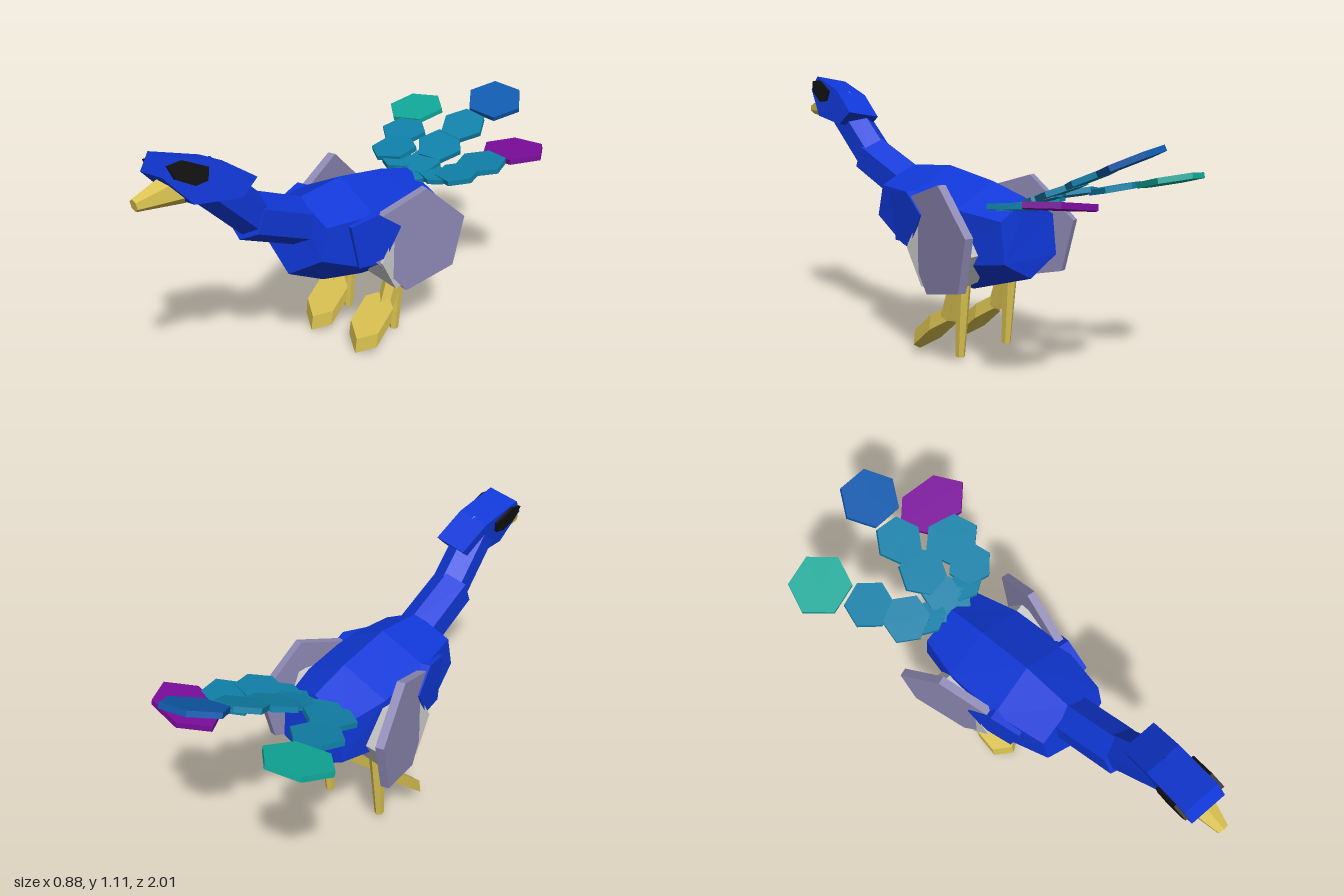
import * as THREE from 'three';

const mat = (color) => new THREE.MeshStandardMaterial({ color, flatShading: true });
const BLUE = mat(0x1038d8), GOLD = mat(0xd8c050), GREY = mat(0xcccccc), WING = mat(0x8e89b5);
const BLACK = mat(0x111111), TEALBLUE = mat(0x1080a8);

function add(parent, name, geometry, material) {
  const mesh = new THREE.Mesh(geometry, material);
  mesh.name = name;
  parent.add(mesh);
  return mesh;
}

// Skin over rings of equal length; rings run counterclockwise seen from the first end
function loft(rings) {
  const pos = [];
  const tri = (...p) => p.forEach((v) => pos.push(...v));
  const n = rings[0].length, last = rings[rings.length - 1];
  for (let i = 0; i < rings.length - 1; i++) {
    for (let j = 0; j < n; j++) {
      const k = (j + 1) % n;
      const a = rings[i][j], b = rings[i][k], c = rings[i + 1][k], d = rings[i + 1][j];
      tri(a, d, c);
      tri(a, c, b);
    }
  }
  for (let j = 1; j < n - 1; j++) {
    tri(rings[0][0], rings[0][j], rings[0][j + 1]);
    tri(last[0], last[j + 1], last[j]);
  }
  const g = new THREE.BufferGeometry();
  g.setAttribute('position', new THREE.Float32BufferAttribute(pos, 3));
  g.computeVertexNormals();
  return g;
}

// Six-sided bar in a plane of constant x, from [z, y] to [z, y], ridge up
function hexBar(parent, name, x, [z0, y0], [z1, y1], r0, r1, material) {
  const len = Math.hypot(z1 - z0, y1 - y0);
  const mesh = add(parent, name, new THREE.CylinderGeometry(r1, r0, len, 6), material);
  mesh.position.set(x, (y0 + y1) / 2, (z0 + z1) / 2);
  mesh.rotation.x = Math.atan2(z1 - z0, y1 - y0);
  return mesh;
}

// Slab with a [z, y] outline, centred on x = 0
function sideSlab(points, thickness) {
  const shape = new THREE.Shape(points.map(([z, y]) => new THREE.Vector2(z, y)));
  const g = new THREE.ExtrudeGeometry(shape, { depth: thickness, bevelEnabled: false });
  return g.translate(0, 0, -thickness / 2).rotateY(-Math.PI / 2);
}

// Body section: [half width, top, upper side, lower side, bottom], each height as [z, y]
function bodyRing([w, top, up, low, bottom]) {
  const p = (x, [z, y]) => [x, y, z];
  return [p(w, low), p(w, up), p(0, top), p(-w, up), p(-w, low), p(0, bottom)];
}

function buildSide() {
  const side = new THREE.Group();

  // Wing plate, swept outward to the back
  const wing = add(side, 'wing', sideSlab([
    [0.08, 0.65], [-0.18, 0.73], [-0.38, 0.555], [-0.33, 0.34], [-0.09, 0.29], [0.1, 0.51],
  ], 0.035), WING);
  wing.position.x = 0.215;
  wing.rotation.y = -0.24;

  // Blue shoulder under the front of the wing
  const shoulder = add(side, 'shoulder', sideSlab([
    [0.19, 0.66], [0.06, 0.68], [-0.05, 0.6], [0.02, 0.48], [0.15, 0.47],
  ], 0.05), BLUE);
  shoulder.position.x = 0.215;
  shoulder.rotation.y = -0.22;

  // Thigh
  const thigh = add(side, 'thigh', new THREE.CylinderGeometry(0.15, 0.17, 0.155, 6), GREY);
  thigh.rotation.z = Math.PI / 2;
  thigh.position.set(0.16, 0.46, -0.12);

  // Shin and hind toe
  hexBar(side, 'shin', 0.138, [-0.16, 0.36], [-0.09, 0.18], 0.042, 0.036, GOLD);
  hexBar(side, 'hindToe', 0.135, [-0.17, 0.35], [-0.15, 0.03], 0.032, 0.02, GOLD);

  // Sloping front foot
  const ring = (dy, dz) => Array.from({ length: 6 }, (_, i) => {
    const a = Math.PI / 6 + i * Math.PI / 3, s = -Math.sin(a);
    return [0.13 + 0.089 * Math.cos(a), 0.155 - 0.08 * s + dy, -0.01 + 0.093 * s + dz];
  });
  add(side, 'foot', loft([ring(0, 0), ring(-0.065, 0.01)]), GOLD);
  return side;
}

function buildHead() {
  const head = new THREE.Group();
  head.name = 'head';
  const cy = 1.0, cz = 0.73;
  const local = ([z, y]) => [z - cz, y - cy];
  add(head, 'skull', sideSlab([
    [0.88, 1.11], [0.69, 1.05], [0.56, 0.957], [0.63, 0.9], [0.82, 0.93], [0.92, 1.05],
  ].map(local), 0.15), BLUE);
  // Eyes
  for (const s of [1, -1]) {
    const eye = add(head, s > 0 ? 'leftEye' : 'rightEye', sideSlab([
      [0.9, 1.085], [0.84, 1.09], [0.75, 1.045], [0.76, 1.0], [0.81, 0.995], [0.88, 1.035],
    ].map(local), 0.015), BLACK);
    eye.position.x = s * 0.08;
  }
  // Beak
  hexBar(head, 'beak', 0, local([0.82, 0.99]), local([1.0, 0.966]), 0.07, 0.024, GOLD);
  head.position.set(0.005, cy, cz);
  head.rotation.set(0, -0.12, 0.17);
  return head;
}

function buildTail() {
  const tail = new THREE.Group();
  tail.name = 'tail';
  // Each plate: x, y, z, radius across, radius along, yaw, pitch, roll
  const feathers = {
    base: { color: TEALBLUE.color, plates: [[0.02, 0.655, -0.4, 0.1, 0.07, 0, 0.3, 0]] },
    middleFeather: {
      color: 0x0f5aad,
      plates: [
        [0.02, 0.68, -0.46, 0.08, 0.085, 0.3, 0.36, 0],
        [0.025, 0.725, -0.565, 0.105, 0.1, 0.1, 0.38, -0.08],
        [0.04, 0.785, -0.71, 0.1, 0.1, -0.1, 0.39, -0.1],
        [0.07, 0.86, -0.9, 0.13, 0.12, 0, 0.4, -0.12],
      ],
    },
    rightFeather: {
      color: 0x10a898,
      plates: [
        [-0.08, 0.665, -0.42, 0.08, 0.06, 0.4, 0.15, 0],
        [-0.16, 0.69, -0.475, 0.105, 0.095, 0.4, 0.22, 0.05],
        [-0.225, 0.715, -0.62, 0.105, 0.1, 0.3, 0.22, -0.03],
        [-0.31, 0.755, -0.81, 0.135, 0.125, 0.25, 0.24, 0.03],
      ],
    },
    leftFeather: {
      color: 0x7a0c9a,
      plates: [
        [0.11, 0.66, -0.42, 0.08, 0.06, -0.4, 0.12, 0],
        [0.2, 0.675, -0.47, 0.095, 0.095, -0.3, 0.16, 0.1],
        [0.225, 0.69, -0.6, 0.12, 0.105, -0.3, 0.16, 0.12],
        [0.275, 0.713, -0.765, 0.162, 0.115, -0.16, 0.13, 0.15],
      ],
    },
  };
  for (const [name, { color, plates }] of Object.entries(feathers)) {
    const feather = new THREE.Group();
    feather.name = name;
    plates.forEach(([x, y, z, rx, rz, yaw, pitch, roll], i) => {
      const g = new THREE.CylinderGeometry(1, 1, 0.022, 6).rotateY(Math.PI / 6).scale(rx, 1, rz);
      const tip = name !== 'base' && i === plates.length - 1;
      const plate = add(feather, tip ? 'featherTip' : 'featherPlate', g, tip ? mat(color) : TEALBLUE);
      plate.position.set(x, y, z);
      plate.rotation.set(pitch, yaw, roll);
    });
    tail.add(feather);
  }
  return tail;
}

export function createModel() {
  const model = new THREE.Group();
  model.name = 'bird';

  // Faceted body, front to back
  add(model, 'body', loft([
    [0.16, [0.275, 0.755], [0.285, 0.68], [0.315, 0.55], [0.34, 0.445]],
    [0.2, [0.045, 0.77], [0.06, 0.67], [0.12, 0.46], [0.147, 0.34]],
    [0.195, [-0.2, 0.725], [-0.19, 0.63], [-0.12, 0.4], [-0.09, 0.272]],
    [0.15, [-0.377, 0.674], [-0.38, 0.6], [-0.4, 0.44], [-0.4, 0.364]],
  ].map(bodyRing)), BLUE);

  // Two neck segments
  hexBar(model, 'lowerNeck', 0, [0.24, 0.64], [0.54, 0.775], 0.097, 0.095, BLUE);
  hexBar(model, 'upperNeck', 0.005, [0.48, 0.735], [0.75, 1.0], 0.082, 0.08, BLUE);

  const left = buildSide(), right = buildSide();
  left.name = 'leftSide';
  right.name = 'rightSide';
  right.scale.x = -1;
  model.add(buildHead(), left, right, buildTail());
  return model;
}
